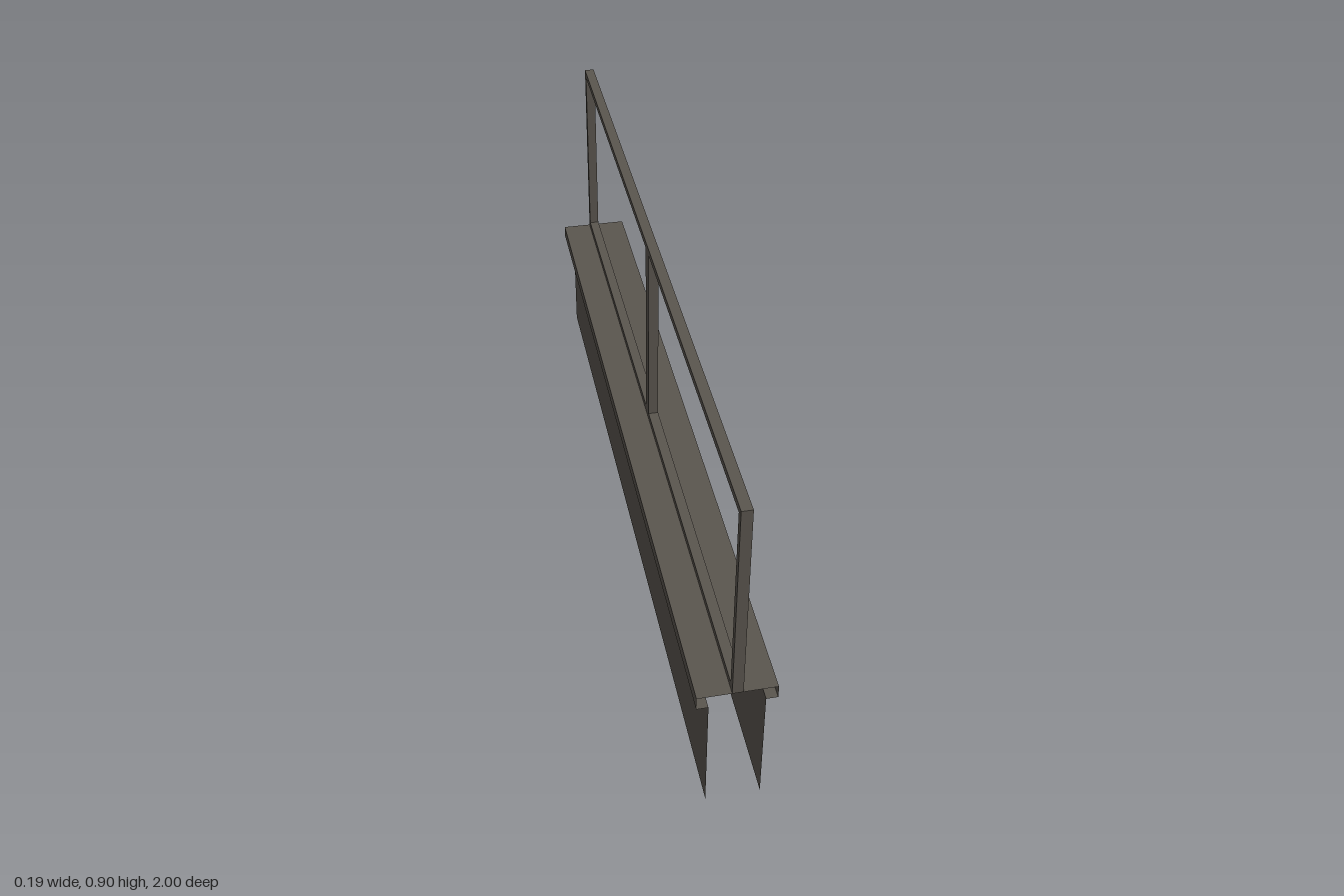
import * as THREE from 'three';

const LENGTH = 2;

export function createModel() {
  const group = new THREE.Group();
  group.name = 'parapetWithRailing';

  const metal = new THREE.MeshStandardMaterial({ color: 0x5b564f, side: THREE.DoubleSide });
  metal.name = 'darkBronze';

  function box(name, w, h, d, x, y, z) {
    const mesh = new THREE.Mesh(new THREE.BoxGeometry(w, h, d), metal);
    mesh.name = name;
    mesh.position.set(x, y, z);
    group.add(mesh);
  }

  // Thin sheet running the full length between two cross-section points
  function sheet(name, [x1, y1], [x2, y2]) {
    const geo = new THREE.PlaneGeometry(LENGTH, Math.hypot(x2 - x1, y2 - y1));
    geo.rotateY(Math.PI / 2);
    geo.rotateZ(Math.atan2(y2 - y1, x2 - x1) - Math.PI / 2);
    const mesh = new THREE.Mesh(geo, metal);
    mesh.name = name;
    mesh.position.set((x1 + x2) / 2, (y1 + y2) / 2, 0);
    group.add(mesh);
  }

  // Open-ended base: two walls under an overhanging coping
  const wallX = 0.066, capX = 0.094, capBottom = 0.325, capTop = 0.36;
  for (const [side, s] of [['left', 1], ['right', -1]]) {
    sheet(side + 'Wall', [s * wallX, 0], [s * wallX, capBottom]);
    sheet(side + 'Soffit', [s * wallX, capBottom], [s * capX, capBottom]);
    sheet(side + 'Lip', [s * capX, capBottom], [s * capX, capTop]);
  }
  sheet('copingTop', [capX, capTop], [-capX, capTop]);

  // Railing frame: two rails, end posts and a wider middle post
  const bar = 0.018, depth = 0.026, top = 0.905;
  const postHeight = top - capTop - 2 * bar, postY = (top + capTop) / 2;
  box('bottomRail', depth, bar, LENGTH, 0, capTop + bar / 2, 0);
  box('topRail', depth, bar, LENGTH, 0, top - bar / 2, 0);
  for (const s of [1, -1]) {
    box(s > 0 ? 'frontPost' : 'backPost', depth, postHeight, bar, 0, postY, s * (LENGTH - bar) / 2);
  }
  box('middlePost', depth, postHeight, 2 * bar, 0, postY, 0);

  return group;
}
